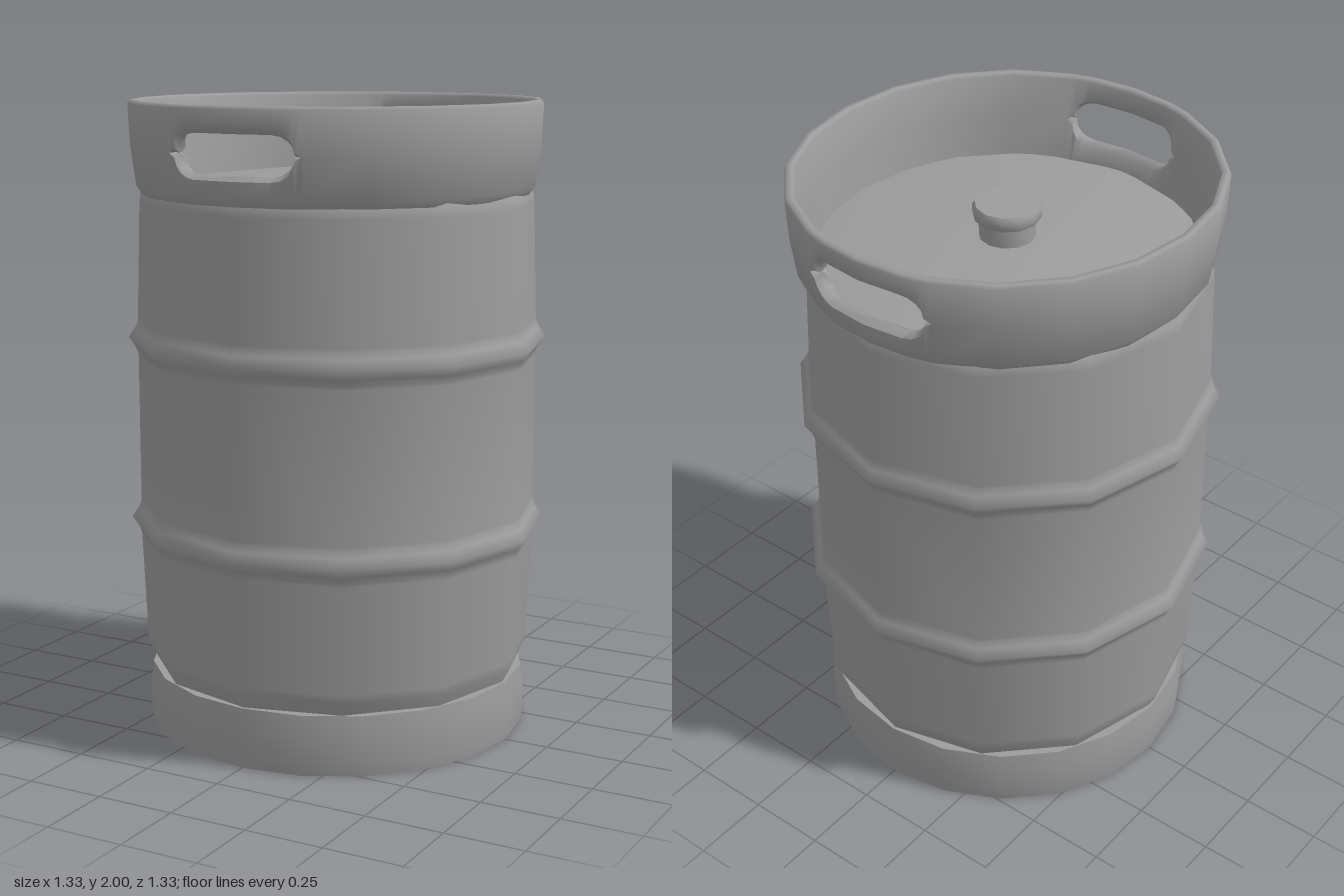
import * as THREE from 'three';
import { toCreasedNormals } from 'three/addons/utils/BufferGeometryUtils.js';

const steel = new THREE.MeshStandardMaterial({ color: 0x9c9c9c });

function part(name, geometry, crease) {
  const mesh = new THREE.Mesh(toCreasedNormals(geometry, crease), steel);
  mesh.name = name;
  return mesh;
}

function lathe(name, profile, sides, crease = 0.75) {
  const points = profile.map(([r, y]) => new THREE.Vector2(r, y));
  return part(name, new THREE.LatheGeometry(points, sides), crease);
}

// Columns around the collar, closer together at the two hand holes. Each has
// an angle, half the height of the hole there, and the rounding of its edge.
function collarColumns() {
  const quarter = [{ a: 0, gap: 0.06, round: 0.015 }];
  for (let i = 0; i <= 4; i++) {
    const t = (i / 4) * Math.PI / 2;
    const x = 0.13 + 0.07 * Math.sin(t);
    quarter.push({ a: Math.asin(x / 0.65), gap: i === 4 ? 0 : 0.06 * Math.cos(t), round: 0.015 });
  }
  for (const deg of [19.8, 36, 54, 72]) quarter.push({ a: THREE.MathUtils.degToRad(deg), gap: 0, round: 0 });
  const mirrored = quarter.slice(1).reverse().map(c => ({ ...c, a: Math.PI - c.a }));
  const half = [...quarter, { a: Math.PI / 2, gap: 0, round: 0 }, ...mirrored];
  return [...half, ...half.map(c => ({ ...c, a: c.a + Math.PI }))];
}

// Collar wall made of a lower and an upper closed section, parted by the holes
function collarGeometry() {
  const mid = 1.86;
  const columns = collarColumns();
  const outer = y => 0.618 + 0.02 * Math.min(1, (y - 1.735) / 0.145);
  const inner = y => 0.568 + 0.043 * (y - 1.74) / 0.25;
  const sections = ({ gap, round }) => {
    const lo = mid - gap, hi = mid + gap;
    const lip = y => (outer(y) + inner(y)) / 2;
    return [
      [[0.6, 1.71], [0.618, 1.735], [outer(lo - round), lo - round], [lip(lo), lo],
        [inner(lo - round), lo - round], [0.568, 1.72]],
      [[lip(hi), hi], [outer(hi + round), hi + round], [0.641, 1.99], [0.634, 2],
        [0.617, 2], [0.611, 1.99], [inner(hi + round), hi + round]],
    ];
  };
  // Section edges that form the rim of the hole
  const holeEdges = [[2, 3], [0, 6]];
  const positions = [];
  const place = ([r, y], a) => {
    const R = r + 0.02 * (1 - Math.sin(a) ** 4); // slight swelling towards the handles
    return [R * Math.sin(a), y, R * Math.cos(a)];
  };
  columns.forEach((c, i) => {
    const d = columns[(i + 1) % columns.length];
    const closed = c.round === 0 && d.round === 0;
    const sc = sections(c), sd = sections(d);
    for (let s = 0; s < 2; s++) {
      const n = sc[s].length;
      for (let k = 0; k < n; k++) {
        if (closed && holeEdges[s].includes(k)) continue;
        const m = (k + 1) % n;
        const p = place(sc[s][k], c.a), q = place(sd[s][k], d.a);
        const r = place(sd[s][m], d.a), t = place(sc[s][m], c.a);
        positions.push(...p, ...q, ...r, ...p, ...r, ...t);
      }
    }
  });
  const geometry = new THREE.BufferGeometry();
  geometry.setAttribute('position', new THREE.Float32BufferAttribute(positions, 3));
  return geometry;
}

export function createModel() {
  const keg = new THREE.Group();
  keg.name = 'keg';

  // Twelve-sided barrel with two smooth rolling ribs
  const rib = y => [
    [0.635, y - 0.06], [0.636, y - 0.05], [0.645, y - 0.03], [0.665, y],
    [0.645, y + 0.03], [0.636, y + 0.05], [0.635, y + 0.06],
  ];
  keg.add(lathe('barrel', [
    [0, 0.16], [0.585, 0.16], [0.594, 0.19], [0.618, 0.235], [0.621, 0.26],
    ...rib(0.66), ...rib(1.25),
    [0.623, 1.68], [0.62, 1.705], [0.6, 1.735],
  ], 12, 1.25));

  // Slightly domed head
  keg.add(lathe('head', [[0.6, 1.735], [0.3, 1.77], [0, 1.78]], 12));

  // Foot ring
  keg.add(lathe('footRing', [
    [0.585, 0], [0.607, 0], [0.612, 0.04], [0.612, 0.12], [0.604, 0.19],
    [0.57, 0.19], [0.58, 0.04], [0.585, 0],
  ], 20));

  // Collar with hand holes at front and back
  keg.add(part('collar', collarGeometry(), 1.1));

  // Valve in the middle of the head
  keg.add(lathe('valve', [
    [0.086, 1.76], [0.086, 1.835], [0.1, 1.84], [0.105, 1.852],
    [0.105, 1.873], [0.098, 1.885], [0, 1.885],
  ], 12));

  return keg;
}
